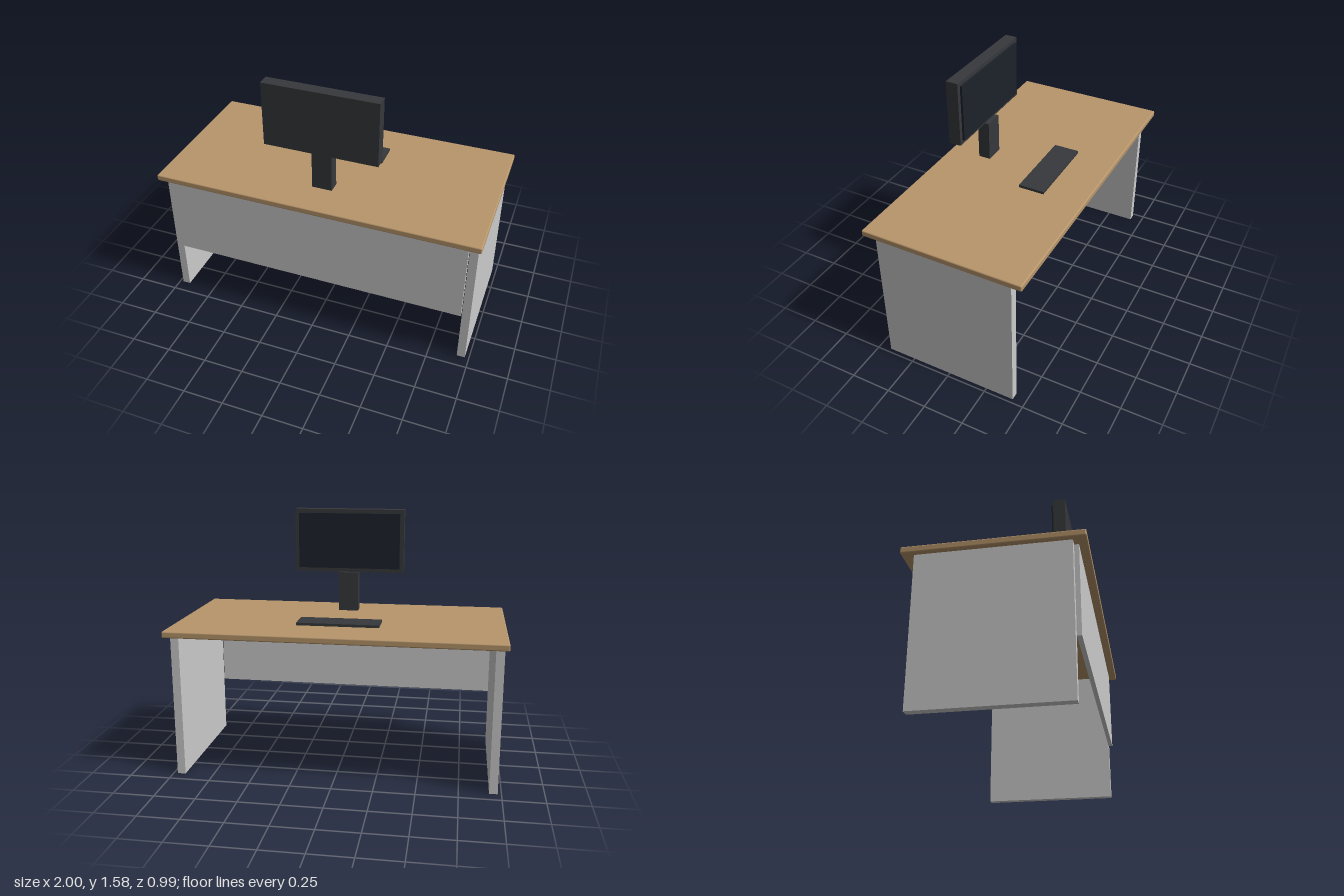
import * as THREE from 'three';
import { RoundedBoxGeometry } from 'three/addons/geometries/RoundedBoxGeometry.js';

const grey = new THREE.MeshStandardMaterial({ color: 0xcccccc });
const wood = new THREE.MeshStandardMaterial({ color: 0xb8966b });
const dark = new THREE.MeshStandardMaterial({ color: 0x36383b });
const glass = new THREE.MeshStandardMaterial({ color: 0x1c222a });

// Box given by its extents [min, max] on each axis; a radius rounds its edges
function box(name, material, [x0, x1], [y0, y1], [z0, z1], radius = 0) {
  const size = [x1 - x0, y1 - y0, z1 - z0];
  const geometry = radius
    ? new RoundedBoxGeometry(...size, 3, radius)
    : new THREE.BoxGeometry(...size);
  const mesh = new THREE.Mesh(geometry, material);
  mesh.name = name;
  mesh.position.set((x0 + x1) / 2, (y0 + y1) / 2, (z0 + z1) / 2);
  return mesh;
}

export function createModel() {
  const model = new THREE.Group();
  model.name = 'officeDesk';

  // Desk: top, two side panels and a front modesty panel
  const desk = new THREE.Group();
  desk.name = 'desk';
  desk.add(box('deskTop', wood, [-1, 1], [0.883, 0.922], [-0.497, 0.497], 0.008));
  for (const [name, x] of [['rightSidePanel', -0.953], ['leftSidePanel', 0.95]]) {
    desk.add(box(name, grey, [x - 0.025, x + 0.025], [0, 0.877], [-0.424, 0.424]));
  }
  desk.add(box('modestyPanel', grey, [-0.928, 0.923], [0.355, 0.877], [0.424, 0.45]));

  // Monitor, its screen facing the user at the back (-z)
  const monitor = new THREE.Group();
  monitor.name = 'monitor';
  monitor.add(
    box('monitorStand', dark, [-0.064, 0.06], [0.93, 1.18], [0.214, 0.289]),
    box('monitorCase', dark, [-0.352, 0.348], [1.18, 1.58], [0.238, 0.313]),
    box('screen', glass, [-0.327, 0.323], [1.205, 1.555], [0.225, 0.238])
  );

  // Keyboard
  const keyboard = box('keyboard', dark, [-0.252, 0.248], [0.93, 0.946], [-0.25, -0.09]);

  model.add(desk, monitor, keyboard);
  return model;
}
